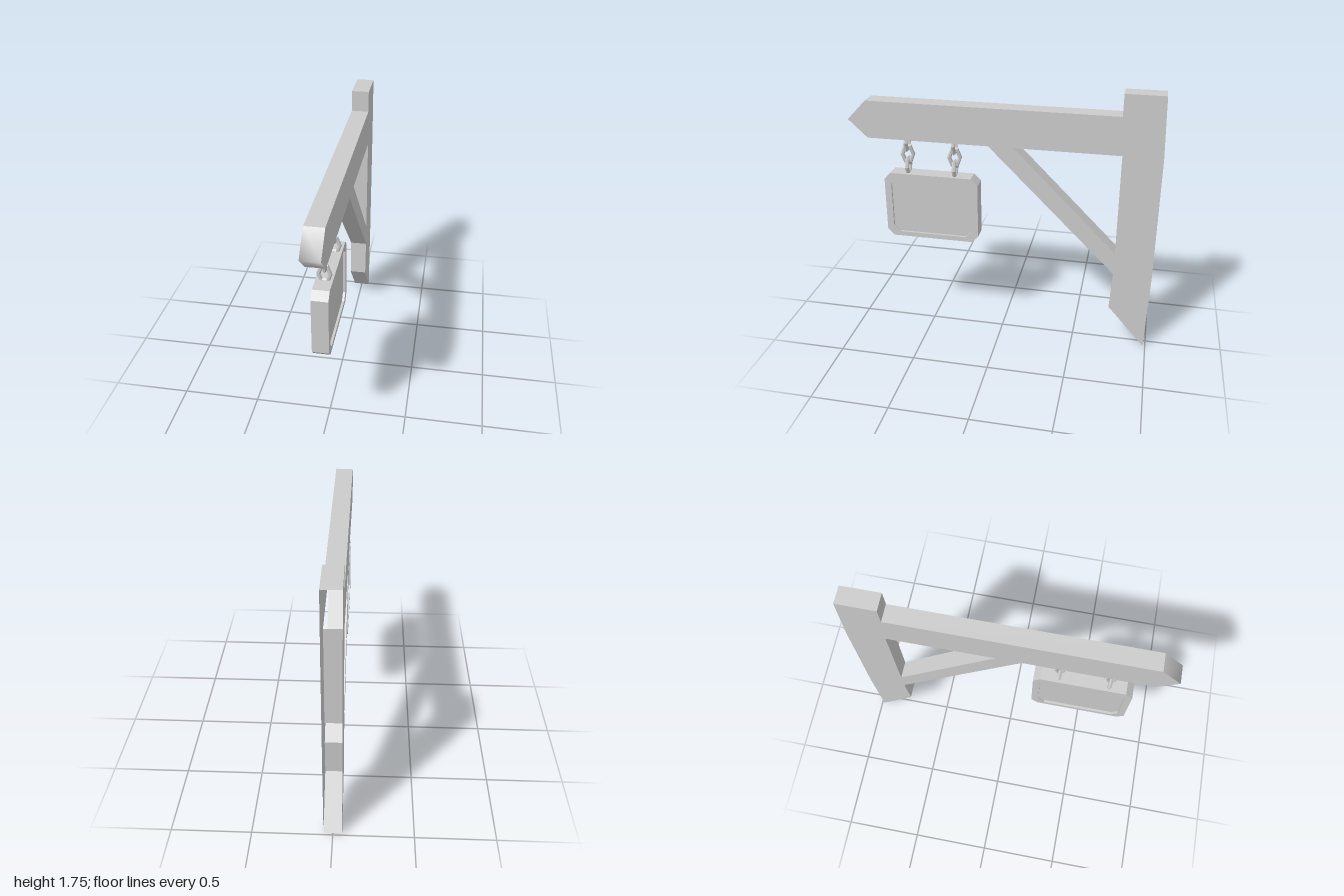
import * as THREE from 'three';
import { mergeVertices } from 'three/addons/utils/BufferGeometryUtils.js';

const timber = new THREE.MeshStandardMaterial({ color: 0xcccccc, side: THREE.DoubleSide });
const metal = new THREE.MeshStandardMaterial({ color: 0xcccccc, flatShading: true });

function makeMesh(name, geometry, material) {
  const mesh = new THREE.Mesh(geometry, material);
  mesh.name = name;
  return mesh;
}

// Flat side face of a [z, y] profile at a given x, facing away from the middle
function cap(name, points, x, holes = []) {
  const toVectors = (list) => list.map(([z, y]) => new THREE.Vector2(-z, y));
  const shape = new THREE.Shape(toVectors(points));
  for (const hole of holes) shape.holes.push(new THREE.Path(toVectors(hole)));
  const geometry = new THREE.ShapeGeometry(shape);
  geometry.rotateY(Math.PI / 2).translate(x, 0, 0);
  if (x < 0) geometry.index.array.reverse();
  geometry.computeVertexNormals();
  return makeMesh(name, geometry, timber);
}

// Walls along a closed [z, y] profile from x0 to x1, leaving the open edges out
function wall(name, points, x0, x1, open = [], smooth = false) {
  const positions = [];
  points.forEach(([za, ya], i) => {
    if (open.includes(i)) return;
    const [zb, yb] = points[(i + 1) % points.length];
    positions.push(x0, ya, za, x0, yb, zb, x1, yb, zb);
    positions.push(x0, ya, za, x1, yb, zb, x1, ya, za);
  });
  let geometry = new THREE.BufferGeometry();
  geometry.setAttribute('position', new THREE.Float32BufferAttribute(positions, 3));
  if (smooth) geometry = mergeVertices(geometry);
  geometry.computeVertexNormals();
  return makeMesh(name, geometry, timber);
}

// Rectangle with cut corners, as [z, y] points
function cutRectangle(z0, z1, y0, y1, c) {
  return [
    [z0 + c, y0], [z1 - c, y0], [z1, y0 + c], [z1, y1 - c],
    [z1 - c, y1], [z0 + c, y1], [z0, y1 - c], [z0, y0 + c],
  ];
}

// Post, pointed beam and diagonal brace; open at the back and under the beam
function makeFrame() {
  const frame = new THREE.Group();
  frame.name = 'timberFrame';
  const half = 0.0575;
  const outline = [
    [-0.985, 0], [-1, 0.54], [-1, 1.36], [-0.985, 1.75],
    [-0.737, 1.75], [-0.737, 1.61], [0.875, 1.61], [1, 1.48],
    [0.875, 1.363], [0.08, 1.363], [-0.752, 0.535], [-0.737, 0.28],
  ];
  const opening = [[-0.08, 1.363], [-0.752, 1.363], [-0.752, 0.69]];
  frame.add(
    wall('frameEdges', outline, -half, half, [0, 1, 2, 6, 7, 8]),
    wall('beamTip', outline.slice(6, 9), -half, half, [2], true),
    wall('braceOpening', opening, -half, half, [0]),
  );
  for (const x of [-half, half]) frame.add(cap('frameSide', outline, x, [opening]));
  return frame;
}

// Sign board with a recessed panel on both sides; open underneath
function makeSign() {
  const sign = new THREE.Group();
  sign.name = 'sign';
  const half = 0.051, panelHalf = 0.036;
  const rim = cutRectangle(0.155, 0.785, 0.668, 1.125, 0.045).reverse();
  const panel = cutRectangle(0.2, 0.74, 0.7, 1.093, 0.042);
  sign.add(wall('signEdge', rim, -half, half, [6]));
  for (const side of [-1, 1]) {
    const [x0, x1] = [side * panelHalf, side * half].sort((a, b) => a - b);
    sign.add(
      cap('signRim', rim, side * half, [panel]),
      wall('panelRecess', panel, x0, x1),
      cap('signPanel', panel, side * panelHalf),
    );
  }
  return sign;
}

// Three interlocking six-sided links, the middle one slightly twisted
function makeChain(z) {
  const chain = new THREE.Group();
  chain.name = 'chain';
  const linkGeometry = new THREE.TorusGeometry(0.035, 0.0135, 6, 6);
  linkGeometry.scale(1, 1.55, 1);
  [1.335, 1.25, 1.165].forEach((y, i) => {
    const link = makeMesh('chainLink', linkGeometry, metal);
    link.position.set(0, y, z);
    if (i === 1) link.rotation.y = Math.PI / 2 + 0.3;
    chain.add(link);
  });
  return chain;
}

export function createModel() {
  const model = new THREE.Group();
  model.name = 'hangingSign';
  model.add(makeFrame(), makeSign(), makeChain(0.63), makeChain(0.315));
  return model;
}
